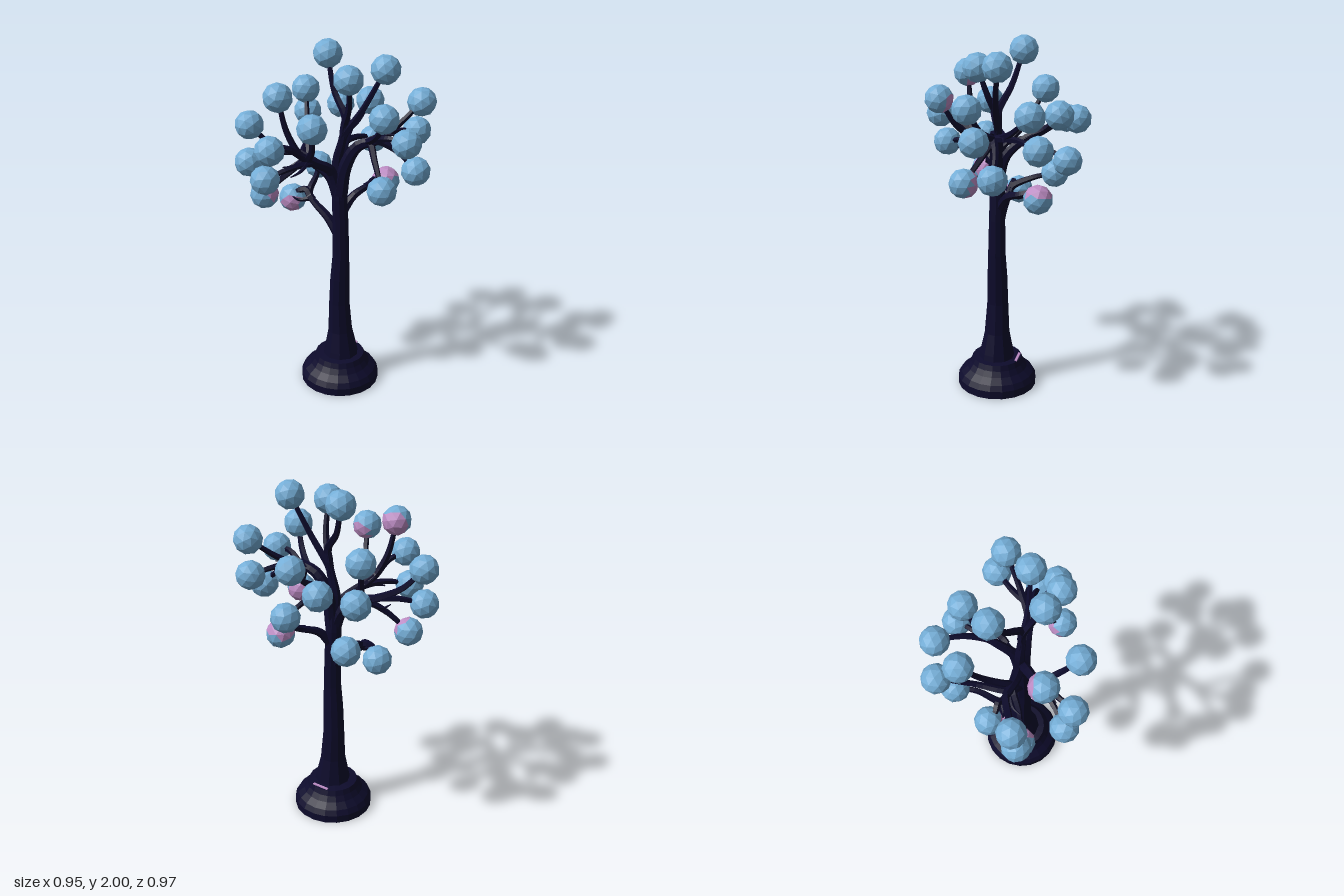
import * as THREE from 'three';

const bark = new THREE.MeshStandardMaterial({ color: 0x0d0b2c, flatShading: true });
bark.name = 'darkBark';
const blue = new THREE.MeshStandardMaterial({ color: 0x74add6, flatShading: true });
blue.name = 'blueFoliage';
const pink = new THREE.MeshStandardMaterial({ color: 0xbd8cc4, flatShading: true });
pink.name = 'pinkFoliage';

const V = (p) => new THREE.Vector3(...p);

// Tapering branch along a smooth path
function branch(name, points, r0, r1, sides = 6) {
  const path = new THREE.CatmullRomCurve3(points.map(V));
  const steps = points.length * 3;
  const geo = new THREE.TubeGeometry(path, steps, 1, sides);
  const pos = geo.attributes.position;
  const v = new THREE.Vector3();
  for (let i = 0; i < pos.count; i++) {
    const t = Math.floor(i / (sides + 1)) / steps;
    const c = path.getPointAt(t);
    v.fromBufferAttribute(pos, i).sub(c).multiplyScalar(r0 + (r1 - r0) * t).add(c);
    pos.setXYZ(i, v.x, v.y, v.z);
  }
  geo.computeVertexNormals();
  const mesh = new THREE.Mesh(geo, bark);
  mesh.name = name;
  return mesh;
}

// Faceted foliage ball; faces turned towards "dir" are pink
function foliageBall(center, seed, tint) {
  const geo = new THREE.IcosahedronGeometry(0.08, 1);
  geo.rotateX(seed * 1.3).rotateY(seed * 2.1);
  const pos = geo.attributes.position;
  const n = new THREE.Vector3();
  geo.clearGroups();
  for (let i = 0; i < pos.count; i += 3) {
    n.set(0, 0, 0);
    for (let k = 0; k < 3; k++) n.add(new THREE.Vector3().fromBufferAttribute(pos, i + k));
    const isPink = tint && n.normalize().dot(V(tint.dir).normalize()) > tint.min;
    geo.addGroup(i, 3, isPink ? 1 : 0);
  }
  const mesh = new THREE.Mesh(geo, [blue, pink]);
  mesh.position.set(...center);
  mesh.name = 'foliageBall';
  return mesh;
}

// Main limbs: path, start and end radius
const limbs = {
  lowLeft: { path: [[0.01, 0.93, -0.02], [-0.06, 1.02, -0.01], [-0.15, 1.09, 0], [-0.21, 1.15, 0]], r: [0.03, 0.016] },
  lowBack: { path: [[0.02, 1.06, -0.03], [0.05, 1.15, -0.1], [0.08, 1.19, -0.2]], r: [0.03, 0.017] },
  left: { path: [[0.02, 1.15, -0.02], [-0.03, 1.28, 0], [-0.12, 1.35, 0.04], [-0.21, 1.39, 0.06]], r: [0.04, 0.024] },
  front: { path: [[0.02, 1.15, -0.02], [-0.01, 1.32, 0.02], [-0.05, 1.39, 0.12], [-0.08, 1.44, 0.19]], r: [0.036, 0.022] },
  back: { path: [[0.02, 1.18, -0.02], [0, 1.36, -0.06], [-0.04, 1.45, -0.14], [-0.06, 1.49, -0.2]], r: [0.036, 0.02] },
  right: { path: [[0.02, 1.18, -0.02], [0.05, 1.35, -0.03], [0.11, 1.47, -0.06], [0.2, 1.51, -0.1]], r: [0.045, 0.026] },
  top: { path: [[0.02, 1.18, -0.02], [0, 1.36, -0.02], [0.03, 1.5, -0.03], [0.04, 1.62, -0.04]], r: [0.036, 0.017] },
};

// Foliage: limb, position along it, ball centre, optional pink side
const foliage = [
  ['lowLeft', 1, [-0.3, 1.08, 0.01], { dir: [0.5, -0.2, 0.8], min: 0.72 }],
  ['lowLeft', 0.9, [-0.3, 1.21, -0.215]],
  ['lowBack', 1, [0.11, 1.19, -0.313], { dir: [-0.2, 1, 0], min: 0.25 }],
  ['left', 0.8, [-0.305, 1.175, 0.235], { dir: [0.7, 0.5, -0.3], min: 0.65 }],
  ['left', 1, [-0.38, 1.355, 0.27]],
  ['left', 1, [-0.388, 1.56, 0.248]],
  ['left', 0.9, [-0.395, 1.51, -0.235]],
  ['left', 0.75, [-0.323, 1.68, -0.138]],
  ['front', 0.75, [-0.146, 1.352, 0.393]],
  ['front', 1, [-0.098, 1.528, 0.405]],
  ['front', 1, [-0.163, 1.762, 0.263], { dir: [-0.3, -0.3, -0.9], min: 0.4 }],
  ['front', 0.85, [0.094, 1.658, 0.294], { dir: [-0.1, -0.4, -0.9], min: 0.72 }],
  ['back', 0.75, [-0.052, 1.372, -0.405]],
  ['back', 1, [-0.04, 1.615, -0.357]],
  ['back', 0.9, [-0.256, 1.55, -0.362]],
  ['right', 1, [0.26, 1.5, -0.385]],
  ['right', 0.85, [0.305, 1.68, -0.358]],
  ['right', 1, [0.392, 1.355, -0.197]],
  ['right', 1, [0.4, 1.54, -0.095]],
  ['right', 0.85, [0.318, 1.68, -0.007]],
  ['right', 0.9, [0.325, 1.29, 0.01], { dir: [-0.6, -0.3, -0.6], min: 0.3 }],
  ['top', 0.75, [0.227, 1.893, -0.135]],
  ['top', 0.9, [0.123, 1.857, 0.04]],
  ['top', 1, [-0.131, 1.922, -0.1]],
];

export function createModel() {
  const tree = new THREE.Group();
  tree.name = 'tree';

  // Round stepped base
  const baseProfile = [[0, 0], [0.225, 0], [0.225, 0.045], [0.208, 0.075], [0.172, 0.105],
    [0.152, 0.135], [0.14, 0.165], [0.085, 0.17], [0, 0.17]];
  const base = new THREE.Mesh(
    new THREE.LatheGeometry(baseProfile.map((p) => new THREE.Vector2(...p)), 20), bark);
  base.position.set(0.02, 0, -0.022);
  base.name = 'base';
  tree.add(base);

  // Slightly uneven tapering trunk
  const trunkProfile = [[0.108, 0.14], [0.096, 0.2], [0.071, 0.32], [0.06, 0.5], [0.056, 0.66],
    [0.049, 0.8], [0.045, 1.0], [0.044, 1.15], [0.036, 1.25], [0, 1.27]];
  const trunkGeo = new THREE.LatheGeometry(trunkProfile.map((p) => new THREE.Vector2(...p)), 10);
  const tp = trunkGeo.attributes.position;
  for (let i = 0; i < tp.count; i++) {
    tp.setX(i, tp.getX(i) + 0.006 * Math.sin(tp.getY(i) * 9));
  }
  trunkGeo.computeVertexNormals();
  const trunk = new THREE.Mesh(trunkGeo, bark);
  trunk.position.set(0.02, 0, -0.022);
  trunk.name = 'trunk';
  tree.add(trunk);

  // Thin pink fleck on the base ledge
  const fleck = new THREE.Mesh(new THREE.BoxGeometry(0.1, 0.006, 0.014), pink);
  fleck.position.set(-0.005, 0.17, -0.143);
  fleck.rotation.y = 0.25;
  fleck.name = 'baseFleck';
  tree.add(fleck);

  // Limbs
  const curves = {};
  for (const [name, limb] of Object.entries(limbs)) {
    curves[name] = new THREE.CatmullRomCurve3(limb.path.map(V));
    tree.add(branch(name + 'Limb', limb.path, ...limb.r, 7));
  }

  // Twigs with a foliage ball at each tip
  foliage.forEach(([limb, t, center, tint], i) => {
    const start = curves[limb].getPointAt(t);
    const end = V(center);
    const mid = start.clone().lerp(end, 0.5);
    mid.x += 0.014 * Math.sin(i * 2.4);
    mid.y += end.y > start.y + 0.12 ? -0.03 : 0.02;
    mid.z += 0.014 * Math.cos(i * 2.4);
    const back = curves[limb].getPointAt(Math.max(0, t - 0.12));
    tree.add(branch('twig', [back, start, mid, end].map((p) => p.toArray()), 0.023, 0.012, 5));
    tree.add(foliageBall(center, i + 1, tint));
  });

  // Bare pointed stubs
  const stubs = [
    [[-0.17, 1.36, 0.05], [-0.22, 1.32, 0.12], [-0.23, 1.33, 0.17]],
    [[-0.06, 1.41, 0.14], [-0.05, 1.37, 0.22], [-0.07, 1.35, 0.28]],
    [[-0.17, 1.11, 0], [-0.22, 1.1, 0.05], [-0.25, 1.12, 0.07]],
    [[0.17, 1.5, -0.09], [0.23, 1.53, -0.17], [0.28, 1.52, -0.2]],
  ];
  for (const s of stubs) tree.add(branch('stub', s, 0.018, 0.003, 5));

  return tree;
}
